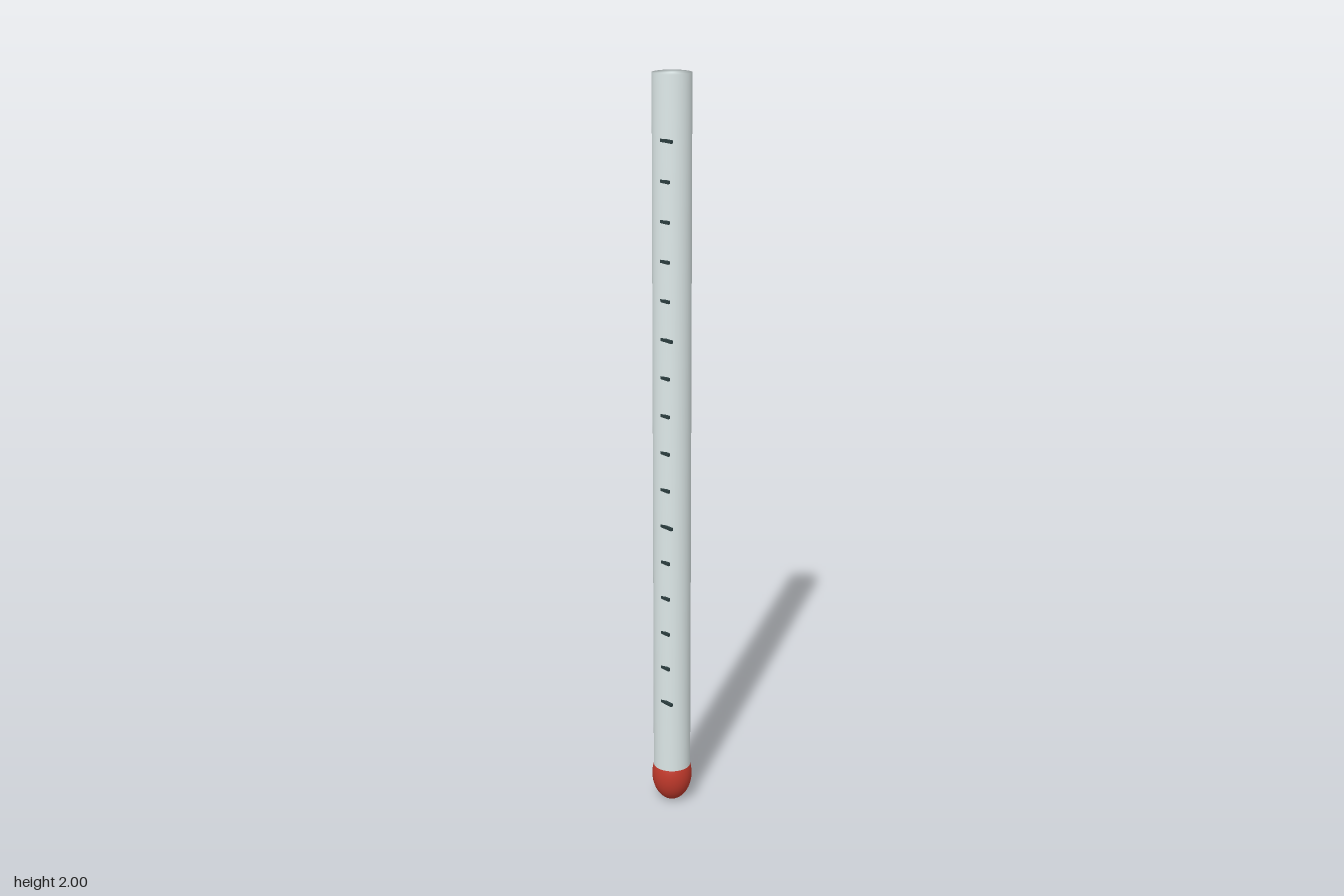
import * as THREE from 'three';

const TUBE_R = 0.0505;
const BULB_R = 0.0545;
const BULB_HALF_HEIGHT = 0.077;

function addPart(parent, name, geometry, color) {
  const mesh = new THREE.Mesh(geometry, new THREE.MeshStandardMaterial({ color }));
  mesh.name = name;
  parent.add(mesh);
  return mesh;
}

export function createModel() {
  const model = new THREE.Group();
  model.name = 'thermometer';

  // Closed tube, softly shaded across its flat ends
  const profile = [[0, 0.07], [TUBE_R, 0.07], [TUBE_R, 2], [0, 2]]
    .map(([r, y]) => new THREE.Vector2(r, y));
  addPart(model, 'tube', new THREE.LatheGeometry(profile, 32), 0xdde8e8);

  // Elongated bulb around the lower end of the tube
  const bulb = addPart(model, 'bulb', new THREE.SphereGeometry(1, 32, 24), 0xc0392b);
  bulb.scale.set(BULB_R, BULB_HALF_HEIGHT, BULB_R);
  bulb.position.y = BULB_HALF_HEIGHT;

  // Scale marks on the front, every fifth one longer
  const scale = new THREE.Group();
  scale.name = 'scaleMarks';
  model.add(scale);
  for (let i = 0; i < 16; i++) {
    const major = i % 5 === 0;
    const length = major ? 0.045 : 0.034;
    const mark = addPart(scale, major ? 'majorMark' : 'minorMark',
      new THREE.BoxGeometry(length, 0.008, 0.007), 0x2c3e40);
    mark.position.set(0.008 + length / 2, 0.315 + i * 0.1016, 0.0455);
  }

  return model;
}
